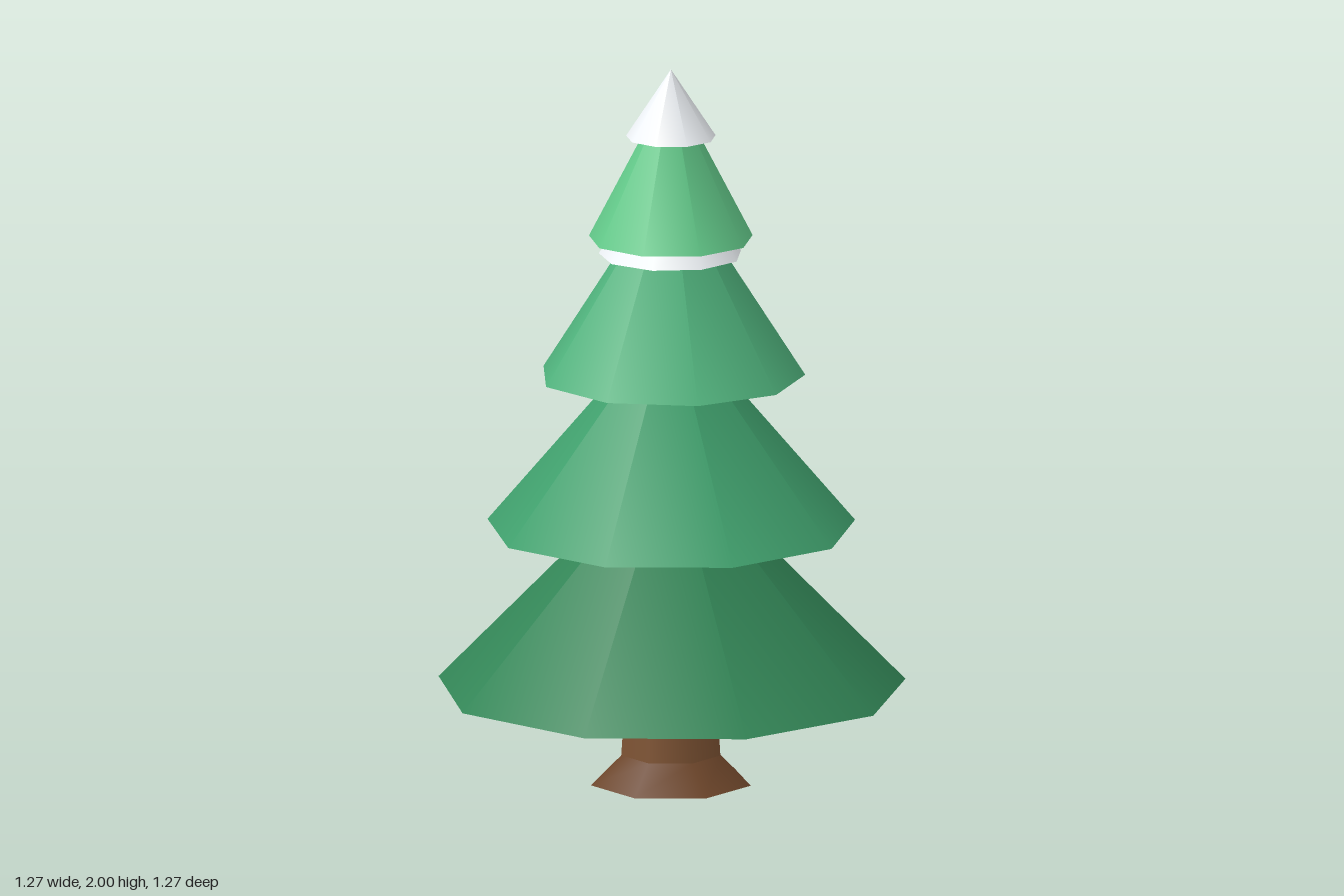
import * as THREE from 'three';

// One tapered, capped ring of the tree, standing on y = base
function taper(name, { top = 0, bottom, base, height, sides = 9, turn = 0, color }) {
  const geometry = new THREE.CylinderGeometry(top, bottom, height, sides);
  const mesh = new THREE.Mesh(geometry, new THREE.MeshStandardMaterial({ color }));
  mesh.name = name;
  mesh.position.y = base + height / 2;
  mesh.rotation.y = turn;
  return mesh;
}

export function createModel() {
  const tree = new THREE.Group();
  tree.name = 'tree';
  const snow = 0xf0f4f8;

  // Seven-sided trunk with a flared foot
  tree.add(
    taper('trunkFoot', { top: 0.139, bottom: 0.224, base: 0, height: 0.08, sides: 7, color: 0x6b4429 }),
    taper('trunk', { top: 0.126, bottom: 0.139, base: 0.08, height: 0.2, sides: 7, color: 0x7f5434 }),
  );

  // Foliage cones, each twisted a little and lighter towards the top
  const tiers = [
    { bottom: 0.648, base: 0.265, height: 0.67, turn: -0.115, color: 0x328556 },
    { bottom: 0.51, base: 0.715, height: 0.605, turn: -0.1, color: 0x3f9f6c },
    { bottom: 0.367, base: 1.14, height: 0.575, turn: -0.237, color: 0x4fb27c },
    { bottom: 0.227, base: 1.525, height: 0.44, turn: -0.08, color: 0x63ca8a },
  ];
  tiers.forEach((tier, i) => tree.add(taper(`foliageTier${i + 1}`, tier)));

  // Snow collar under the top tier and snow cap on the tip
  tree.add(
    taper('snowCollar', { top: 0.16, bottom: 0.198, base: 1.48, height: 0.06, color: snow }),
    taper('snowCap', { bottom: 0.124, base: 1.81, height: 0.19, turn: -0.07, color: snow }),
  );

  // Centre the odd-sided outline on the origin
  tree.children.forEach((part) => {
    part.position.x = 0.012;
    part.position.z = -0.007;
  });
  return tree;
}
